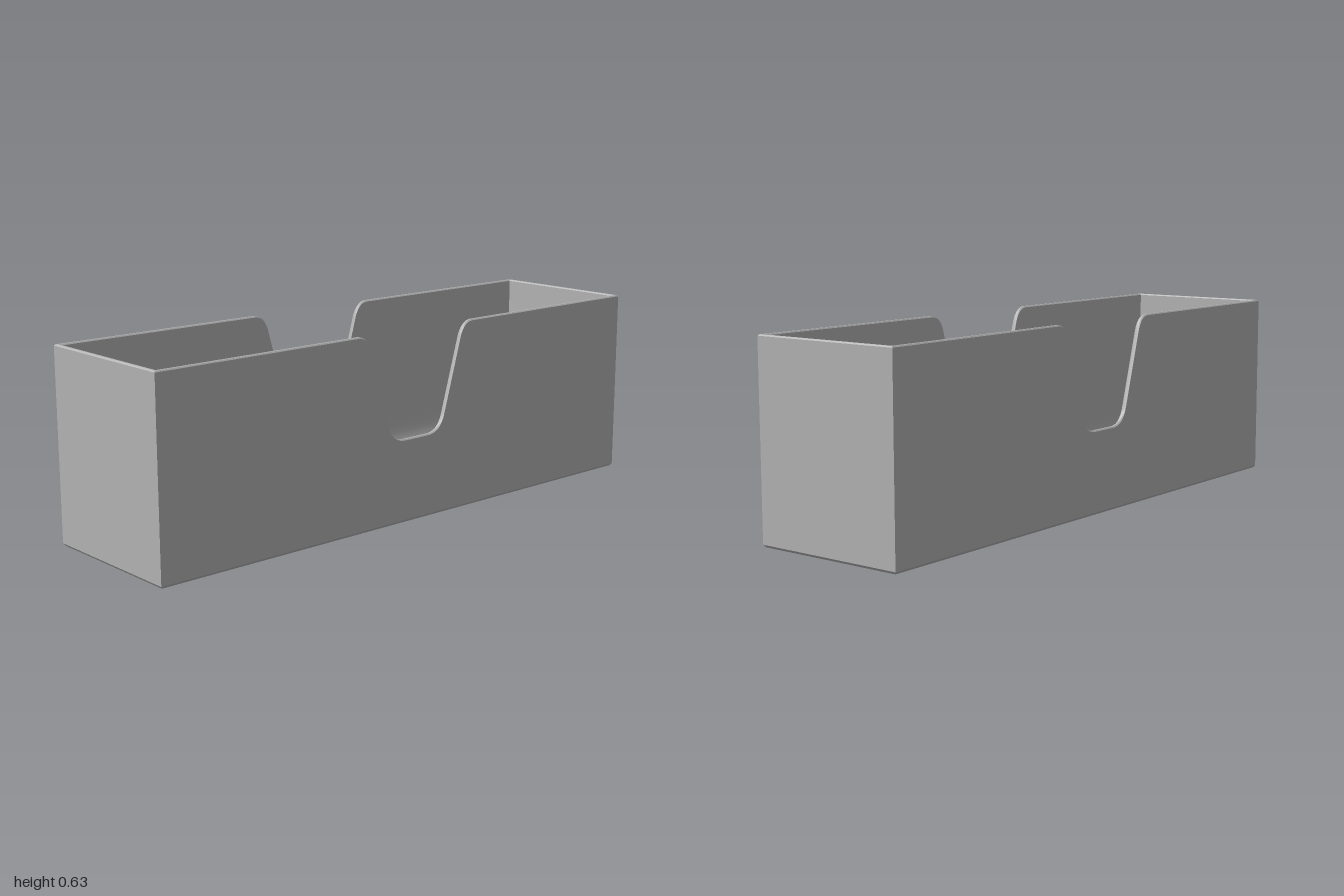
import * as THREE from 'three';
import { toCreasedNormals } from 'three/addons/utils/BufferGeometryUtils.js';

const W = 0.265, L = 1, H = 0.633;      // half width, half length, height
const WALL = 0.015, BEVEL = 0.004, FLOOR = 0.015, COVE = 0.155;

// Outline of the finger notch: [z, rim height] from back to front
function notchOutline() {
  const v = (z, y) => new THREE.Vector2(z, y);
  const upper = new THREE.QuadraticBezierCurve(v(-0.25, H), v(-0.207, H), v(-0.193, 0.575)).getPoints(8);
  const lower = new THREE.QuadraticBezierCurve(v(-0.125, 0.34), v(-0.108, 0.278), v(-0.05, 0.278)).getPoints(8);
  const half = [...upper, ...lower].map(p => [p.x, p.y]);
  return [...half, ...half.map(([z, y]) => [-z, y]).reverse()];
}

// Stations around the walls; only corners are inset along z as well
function wallStations() {
  const notch = notchOutline();
  const side = s => [
    { x: s, z: -L, h: H, corner: -1 },
    ...notch.map(([z, h]) => ({ x: s, z, h, corner: 0 })),
    { x: s, z: L, h: H, corner: 1 },
  ];
  return [...side(1), ...side(-1).reverse()];
}

// Sweep a wall section, given as [inset, y] points, around the box
function sweep(section) {
  const rings = wallStations().map(s => section(s.h).map(([d, y]) =>
    d === null ? [0, y, 0] : [s.x * (W - d), y, s.z - s.corner * d]));
  const pos = [];
  const same = (p, q) => p.every((c, k) => Math.abs(c - q[k]) < 1e-7);
  const tri = (a, b, c) => {
    if (!same(a, b) && !same(b, c) && !same(a, c)) pos.push(...a, ...b, ...c);
  };
  rings.forEach((a, j) => {
    const b = rings[(j + 1) % rings.length];
    for (let i = 0; i < a.length - 1; i++) {
      tri(a[i], a[i + 1], b[i + 1]);
      tri(a[i], b[i + 1], b[i]);
    }
  });
  const geo = new THREE.BufferGeometry();
  geo.setAttribute('position', new THREE.Float32BufferAttribute(pos, 3));
  return toCreasedNormals(geo, 0.45);
}

export function createModel() {
  const group = new THREE.Group();
  group.name = 'notchedTray';
  const grey = new THREE.MeshStandardMaterial({ color: 0xb3b3b3 });
  grey.name = 'grey';
  const add = (name, section) => {
    const mesh = new THREE.Mesh(sweep(section), grey);
    mesh.name = name;
    group.add(mesh);
  };

  // Underside, chamfered foot and outer walls (null inset = centre point)
  add('outerShell', h => [[null, 0], [0.006, 0], [0, 0.008], [0, h - BEVEL]]);

  // Softened top edge following the notches
  add('rim', h => [[0, h - BEVEL], [BEVEL, h], [WALL - BEVEL, h], [WALL, h - BEVEL]]);

  // Inner walls curving into the flat floor
  const cove = [];
  for (let i = 0; i <= 12; i++) {
    const a = (i / 12) * Math.PI / 2;
    cove.push([WALL + COVE * (1 - Math.cos(a)), FLOOR + COVE * (1 - Math.sin(a))]);
  }
  add('lining', h => [[WALL, h - BEVEL], ...cove, [null, FLOOR]]);

  return group;
}
